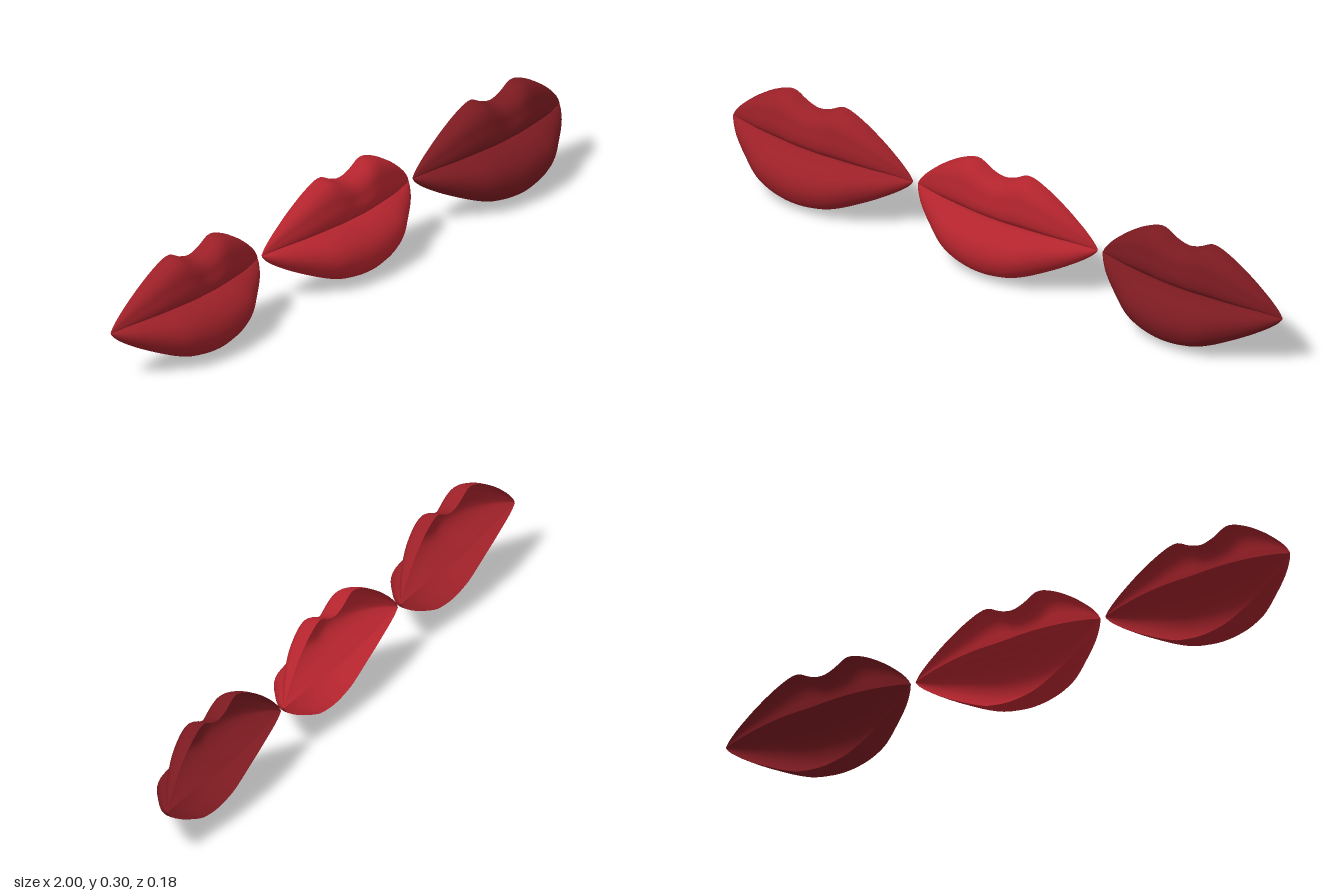
import * as THREE from 'three';

const HALF = 0.327; // half the width of one mouth
const COLS = 72, ROWS = 36;

// Smooth curve through [x, value] pairs, read as a function of |x|
function rule(pairs) {
  return (x) => {
    const a = Math.min(Math.abs(x), HALF);
    let i = 0;
    while (i < pairs.length - 2 && a > pairs[i + 1][0]) i++;
    const [x0, y0] = pairs[i], [x1, y1] = pairs[i + 1];
    const slope = (k) => {
      if (k === 0) return 0;
      const p = pairs[k - 1], q = pairs[Math.min(k + 1, pairs.length - 1)];
      return (q[1] - p[1]) / (q[0] - p[0]);
    };
    const h = x1 - x0, t = (a - x0) / h, t2 = t * t, t3 = t2 * t;
    return (2 * t3 - 3 * t2 + 1) * y0 + (t3 - 2 * t2 + t) * h * slope(i)
      + (3 * t2 - 2 * t3) * y1 + (t3 - t2) * h * slope(i + 1);
  };
}

// Outlines, mouth line and depths across the half width
const upperEdge = rule([[0, 0.276], [0.04, 0.285], [0.09, 0.306], [0.15, 0.289], [0.22, 0.249], [0.28, 0.203], [0.315, 0.168], [HALF, 0.15]]);
const lowerEdge = rule([[0, 0.001], [0.05, 0.005], [0.1, 0.016], [0.2, 0.061], [0.27, 0.1], [0.31, 0.128], [HALF, 0.146]]);
const mouthLine = rule([[0, 0.164], [0.1, 0.166], [0.2, 0.163], [0.28, 0.156], [HALF, 0.148]]);
const rimZ = rule([[0, -0.046], [0.15, -0.048], [0.25, -0.054], [HALF, -0.062]]);
const upperFront = rule([[0, 0.022], [0.06, 0.028], [0.12, 0.022], [0.2, 0.003], [0.28, -0.032], [HALF, -0.06]]);
const lowerFront = rule([[0, 0.09], [0.08, 0.084], [0.14, 0.071], [0.2, 0.037], [0.27, -0.008], [0.31, -0.042], [HALF, -0.06]]);
const seamZ = rule([[0, 0.002], [0.1, -0.001], [0.2, -0.018], [0.28, -0.045], [HALF, -0.061]]);
const flapZ = rule([[0, -0.09], [0.15, -0.084], [0.25, -0.073], [HALF, -0.063]]);

// Cross-sections from rim to mouth line: [share of height, share of bulge]
const upperSection = [[0, 0], [0.015, 0.35], [0.09, 0.65], [0.24, 0.85], [0.45, 0.94], [0.68, 1], [0.86, 0.94]];
const lowerSection = [[0, 0], [0.01, 0.28], [0.06, 0.58], [0.2, 0.87], [0.46, 1], [0.7, 0.94], [0.88, 0.74], [0.975, 0.5]];

// One lip as an open shell that folds in at the mouth line
function lipGeometry(edge, front, section, upper) {
  const pos = [], index = [];
  const side = upper ? 1 : -1;
  for (let i = 0; i <= COLS; i++) {
    const x = HALF * Math.sin((i / COLS - 0.5) * Math.PI);
    const e = edge(x), m = mouthLine(x), r = rimZ(x), f = front(x), s = seamZ(x), b = flapZ(x);
    const open = Math.max(0, 1 - (x / HALF) ** 2);
    const pts = section.map(([v, w]) => new THREE.Vector3(x, e + (m - e) * v, r + (f - r) * w));
    // Inner fold, dipping behind the seam and curling up at the back
    pts.push(
      new THREE.Vector3(x, m + side * 0.001 * open, s),
      new THREE.Vector3(x, m + (side * 0.002 - 0.012) * open, s + (b - s) * 0.6),
      new THREE.Vector3(x, m + (side * 0.003 - 0.001) * open, b));
    const curve = new THREE.CatmullRomCurve3(pts, false, 'centripetal');
    for (let j = 0; j <= ROWS; j++) {
      const p = curve.getPoint(j / ROWS);
      pos.push(x, p.y, p.z);
    }
  }
  for (let i = 0; i < COLS; i++) {
    for (let j = 0; j < ROWS; j++) {
      const a = i * (ROWS + 1) + j, b = a + ROWS + 1, c = a + 1, d = b + 1;
      if (upper) index.push(a, c, b, b, c, d);
      else index.push(a, b, c, b, d, c);
    }
  }
  const geometry = new THREE.BufferGeometry();
  geometry.setAttribute('position', new THREE.Float32BufferAttribute(pos, 3));
  geometry.setIndex(index);
  geometry.computeVertexNormals();
  return geometry;
}

export function createModel() {
  const model = new THREE.Group();
  model.name = 'lips';
  const upper = lipGeometry(upperEdge, upperFront, upperSection, true);
  const lower = lipGeometry(lowerEdge, lowerFront, lowerSection, false);

  // Three mouths side by side, each in its own red
  [['rightMouth', -0.673, 0x9c2028], ['middleMouth', 0, 0xb3242d], ['leftMouth', 0.673, 0x7a1a20]]
    .forEach(([name, x, color]) => {
      const material = new THREE.MeshStandardMaterial({ color, side: THREE.DoubleSide });
      const mouth = new THREE.Group();
      mouth.name = name;
      mouth.position.x = x;
      const upperLip = new THREE.Mesh(upper, material);
      upperLip.name = 'upperLip';
      const lowerLip = new THREE.Mesh(lower, material);
      lowerLip.name = 'lowerLip';
      mouth.add(upperLip, lowerLip);
      model.add(mouth);
    });
  return model;
}
